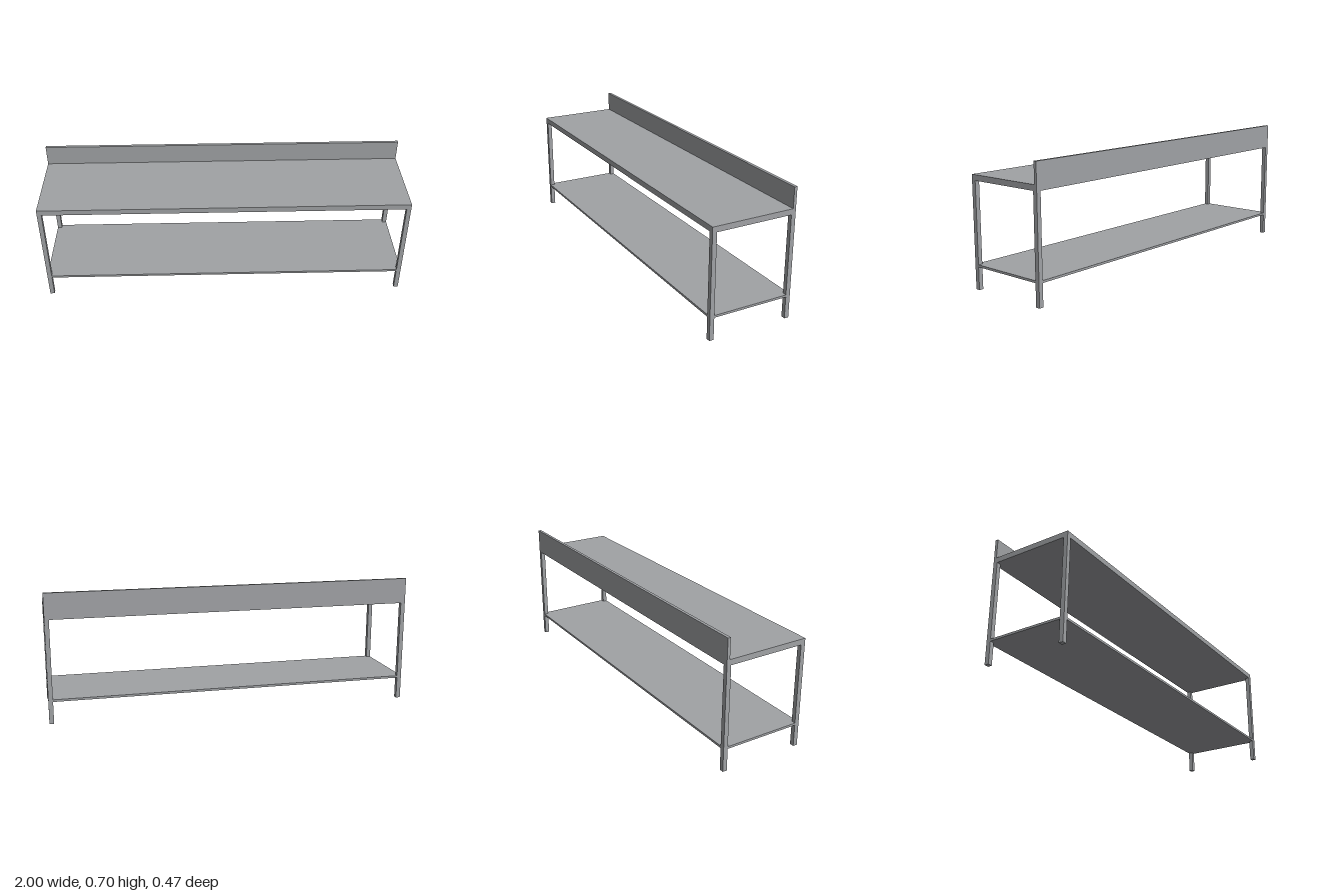
import * as THREE from 'three';

const HALF_X = 1, HALF_Z = 0.233, LEG = 0.024;
const TOP_LOW = 0.56, TOP_HIGH = 0.59, SPLASH_HIGH = 0.70, SPLASH_THICK = 0.016;
const SHELF_LOW = 0.12, SHELF_THICK = 0.012;

const outline = (points) => new THREE.Shape(points.map(([x, y]) => new THREE.Vector2(x, y)));

export function createModel() {
  const group = new THREE.Group();
  const steel = new THREE.MeshStandardMaterial({ color: 0xa0a2a5 });
  steel.name = 'steel grey';

  const add = (name, geometry) => {
    const mesh = new THREE.Mesh(geometry, steel);
    mesh.name = name;
    group.add(mesh);
    return mesh;
  };

  // Worktop and upstand: one L-shaped section (-z, y) swept along the length
  const section = outline([
    [-HALF_Z, TOP_LOW], [HALF_Z, TOP_LOW], [HALF_Z, SPLASH_HIGH],
    [HALF_Z - SPLASH_THICK, SPLASH_HIGH], [HALF_Z - SPLASH_THICK, TOP_HIGH], [-HALF_Z, TOP_HIGH],
  ]);
  const top = new THREE.ExtrudeGeometry(section, { depth: 2 * HALF_X, bevelEnabled: false });
  top.translate(0, 0, -HALF_X).rotateY(Math.PI / 2);
  add('worktopWithUpstand', top);

  // Lower shelf: sheet notched at its corners around the legs
  const ix = HALF_X - LEG, iz = HALF_Z - LEG;
  const sheet = outline([
    [-ix, -HALF_Z], [ix, -HALF_Z], [ix, -iz], [HALF_X, -iz], [HALF_X, iz], [ix, iz],
    [ix, HALF_Z], [-ix, HALF_Z], [-ix, iz], [-HALF_X, iz], [-HALF_X, -iz], [-ix, -iz],
  ]);
  const shelf = new THREE.ExtrudeGeometry(sheet, { depth: SHELF_THICK, bevelEnabled: false });
  shelf.rotateX(-Math.PI / 2).translate(0, SHELF_LOW, 0);
  add('lowerShelf', shelf);

  // Four square legs, flush with the outer edges
  const legGeometry = new THREE.BoxGeometry(LEG, TOP_LOW, LEG);
  for (const [side, sx] of [['Left', 1], ['Right', -1]]) {
    for (const [end, sz] of [['front', 1], ['back', -1]]) {
      add(`${end}${side}Leg`, legGeometry)
        .position.set(sx * (HALF_X - LEG / 2), TOP_LOW / 2, sz * (HALF_Z - LEG / 2));
    }
  }
  return group;
}
